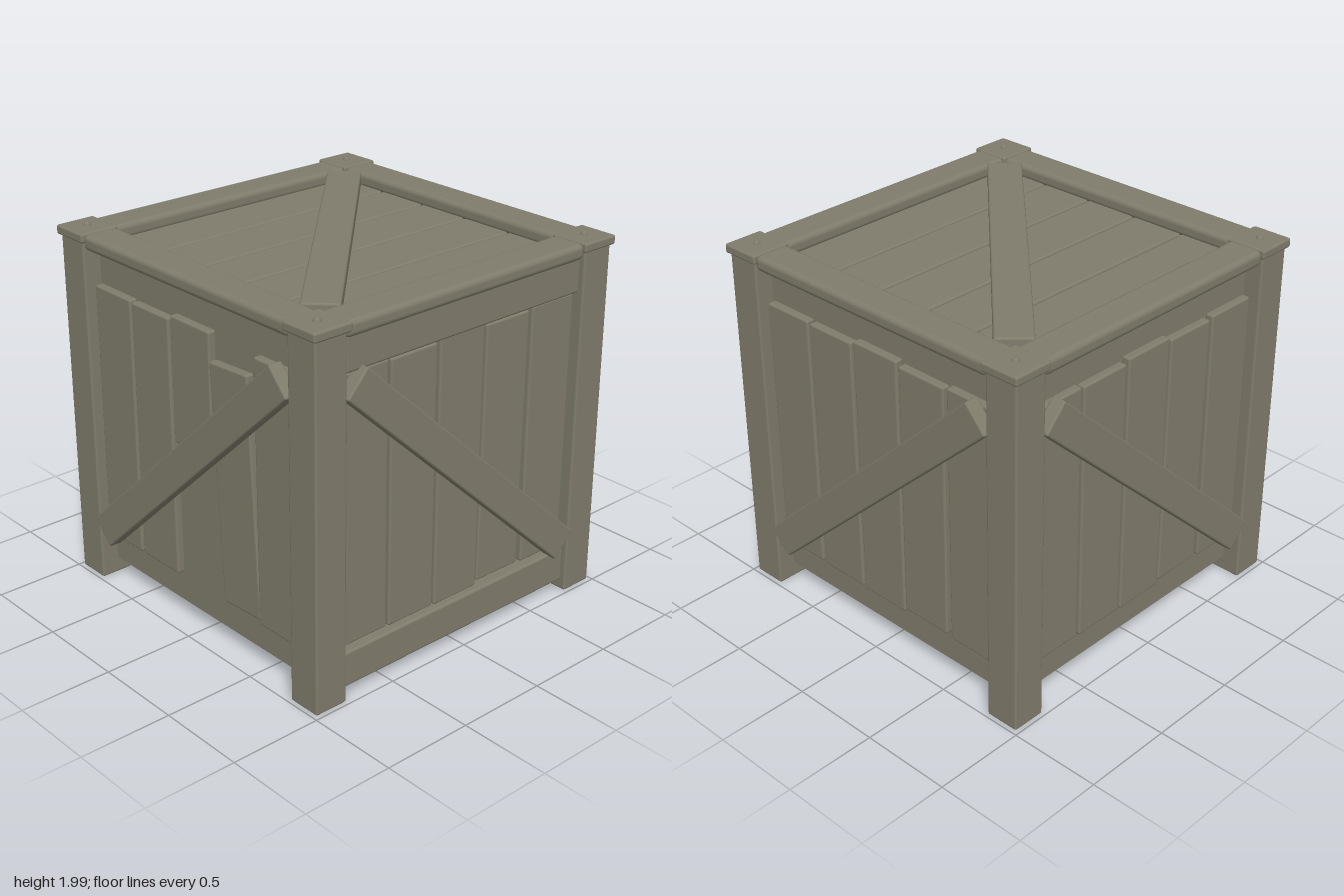
import * as THREE from 'three';
import { RoundedBoxGeometry } from 'three/addons/geometries/RoundedBoxGeometry.js';

const wood = new THREE.MeshStandardMaterial({ color: 0x807c6c });
wood.name = 'weatheredWood';

function box(parent, name, size, pos, radius = 0.01, rotZ = 0) {
  const mesh = new THREE.Mesh(new RoundedBoxGeometry(...size, 2, radius), wood);
  mesh.name = name;
  mesh.position.set(...pos);
  mesh.rotation.z = rotZ;
  parent.add(mesh);
  return mesh;
}

// Planks of one wall, seen from outside: [centre x, bottom, top, width, tilt]
const intact = [
  [-0.63, 0.27, 1.695, 0.30, 0.004],
  [-0.315, 0.265, 1.69, 0.30, 0.004],
  [0, 0.26, 1.71, 0.30, 0],
  [0.31, 0.28, 1.69, 0.30, -0.006],
  [0.635, 0.27, 1.70, 0.30, 0],
];
const broken = [
  [-0.637, 0.265, 1.69, 0.30, -0.004],
  [-0.322, 0.265, 1.685, 0.30, 0.002],
  [-0.002, 1.03, 1.71, 0.305, 0],
  [0.322, 0.28, 1.57, 0.285, 0.055],
  [0.634, 0.265, 1.69, 0.30, 0.004],
];

// One wall built facing +z, then turned into place
function wall(name, planks, slope, angle) {
  const g = new THREE.Group();
  g.name = name;
  planks.forEach(([x, y0, y1, w, tilt], i) =>
    box(g, 'wallPlank' + (i + 1), [w, y1 - y0, 0.05], [x, (y0 + y1) / 2, 0.90], 0.012, tilt));
  box(g, 'wallBrace', [2.02, 0.18, 0.08], [0, 0.9875, 0.96], 0.012, slope * Math.atan2(1.365, 1.49));
  box(g, 'topRail', [1.58, 0.085, 0.20], [0, 1.9275, 0.88], 0.03);
  g.rotation.y = angle;
  return g;
}

export function createModel() {
  const crate = new THREE.Group();
  crate.name = 'crate';

  // Inner box behind the planks
  const core = new THREE.Mesh(new THREE.BoxGeometry(1.76, 1.79, 1.76), wood);
  core.name = 'innerBox';
  core.position.y = 0.985;
  crate.add(core);

  // Four walls
  const right = wall('plusXWall', intact, -1, Math.PI / 2);
  crate.add(
    wall('frontWall', broken, 1, 0),
    right,
    wall('backWall', intact, 1, Math.PI),
    wall('minusXWall', intact, -1, -Math.PI / 2));

  // Extra boards on one side
  box(right, 'upperBoard', [1.57, 0.19, 0.16], [0, 1.805, 0.88], 0.015);
  box(right, 'lowerBoard', [1.57, 0.195, 0.16], [0, 0.1625, 0.88], 0.015);

  // Corner posts with caps and rivets
  for (const sx of [-1, 1]) for (const sz of [-1, 1]) {
    const post = new THREE.Group();
    post.name = 'cornerPost';
    post.position.set(sx * 0.885, 0, sz * 0.885);
    box(post, 'post', [0.19, 1.94, 0.19], [0, 0.97, 0], 0.012);
    box(post, 'postCap', [0.225, 0.05, 0.225], [0, 1.95, 0], 0.012);
    const rivet = new THREE.Mesh(
      new THREE.SphereGeometry(0.02, 12, 6, 0, Math.PI * 2, 0, Math.PI / 2), wood);
    rivet.name = 'rivet';
    rivet.position.y = 1.972;
    post.add(rivet);
    crate.add(post);
  }

  // Lid planks and diagonal brace
  for (let i = 0; i < 5; i++)
    box(crate, 'lidPlank' + (i + 1), [0.305, 0.05, 1.57], [(i - 2) * 0.315, 1.88, 0], 0.012);
  const lidBrace = box(crate, 'lidBrace', [2.08, 0.08, 0.19], [0, 1.934, 0], 0.012);
  lidBrace.rotation.y = -Math.PI / 4;

  return crate;
}
